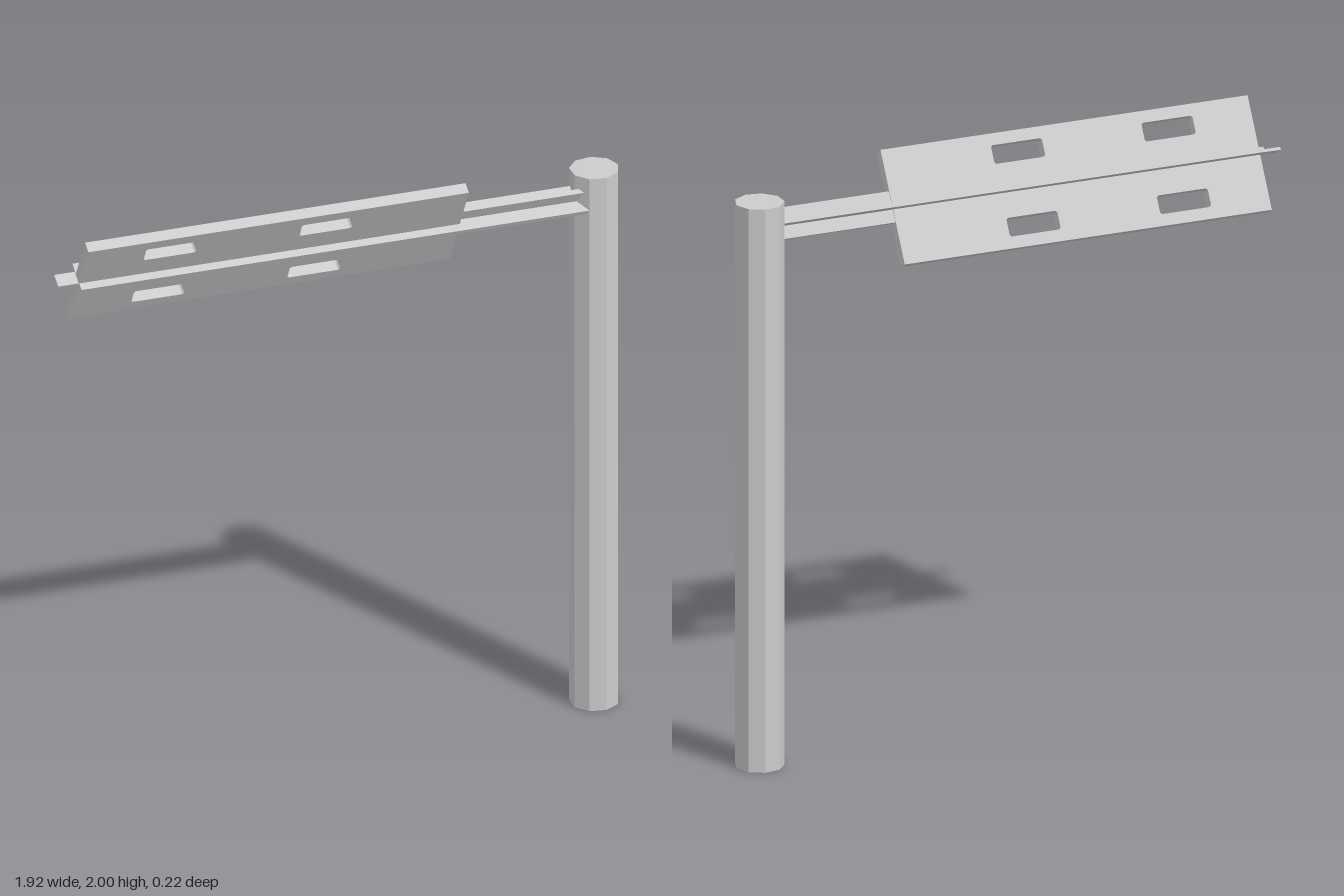
import * as THREE from 'three';

const material = new THREE.MeshStandardMaterial({ color: 0xcccccc, flatShading: true });

function add(parent, name, geometry, x = 0, y = 0, z = 0) {
  const mesh = new THREE.Mesh(geometry, material);
  mesh.name = name;
  mesh.position.set(x, y, z);
  parent.add(mesh);
  return mesh;
}

// Rectangle with small chamfered corners
function slotPath(cx, cy, w, h, c) {
  const a = w / 2, b = h / 2;
  return new THREE.Path([
    [-a + c, -b], [a - c, -b], [a, -b + c], [a, b - c],
    [a - c, b], [-a + c, b], [-a, b - c], [-a, -b + c],
  ].map(([x, y]) => new THREE.Vector2(cx + x, cy + y)));
}

export function createModel() {
  const model = new THREE.Group();
  model.name = 'postWithTiltedPanel';

  // Nine-sided upright post
  const post = new THREE.CylinderGeometry(0.0815, 0.0815, 1.925, 9, 1, false, Math.PI / 2);
  add(model, 'post', post, 0.8785, 0.9625, -0.026);

  // Everything on the arm leans forward together
  const tilt = Math.PI / 6;

  // Slotted panel
  const panelGroup = new THREE.Group();
  panelGroup.name = 'panelAssembly';
  panelGroup.position.set(0, 1.825, 0);
  panelGroup.rotation.x = tilt;
  model.add(panelGroup);

  const thickness = 0.038, left = -0.895, right = 0.403, half = 0.191;
  const outline = new THREE.Shape([
    new THREE.Vector2(left, -half), new THREE.Vector2(right, -half),
    new THREE.Vector2(right, half), new THREE.Vector2(left, half),
  ]);
  for (const x of [-0.6, -0.068])
    for (const y of [-0.121, 0.121])
      outline.holes.push(slotPath(x, y, 0.18, 0.062, 0.006));
  const panel = new THREE.ExtrudeGeometry(outline, { depth: thickness, bevelEnabled: false });
  add(panelGroup, 'slottedPanel', panel, 0, 0, -thickness / 2);

  // Cross-section arm running from the post through the panel
  const armGroup = new THREE.Group();
  armGroup.name = 'armAssembly';
  armGroup.position.set(0, 1.83, -0.005);
  armGroup.rotation.x = tilt;
  model.add(armGroup);

  const r = 0.052, t = 0.009, armEnd = 0.89;
  const cross = new THREE.Shape([
    [r, -t], [r, t], [t, t], [t, r], [-t, r], [-t, t],
    [-r, t], [-r, -t], [-t, -t], [-t, -r], [t, -r], [t, -t],
  ].map(([x, y]) => new THREE.Vector2(x, y)));
  const arm = new THREE.ExtrudeGeometry(cross, { depth: armEnd - left, bevelEnabled: false });
  arm.rotateY(Math.PI / 2);
  add(armGroup, 'crossArm', arm, left, 0, 0);

  // Flat tongue at the free end
  add(armGroup, 'endTongue', new THREE.BoxGeometry(0.09, 0.01, 0.046), -0.92, 0, 0);

  return model;
}
